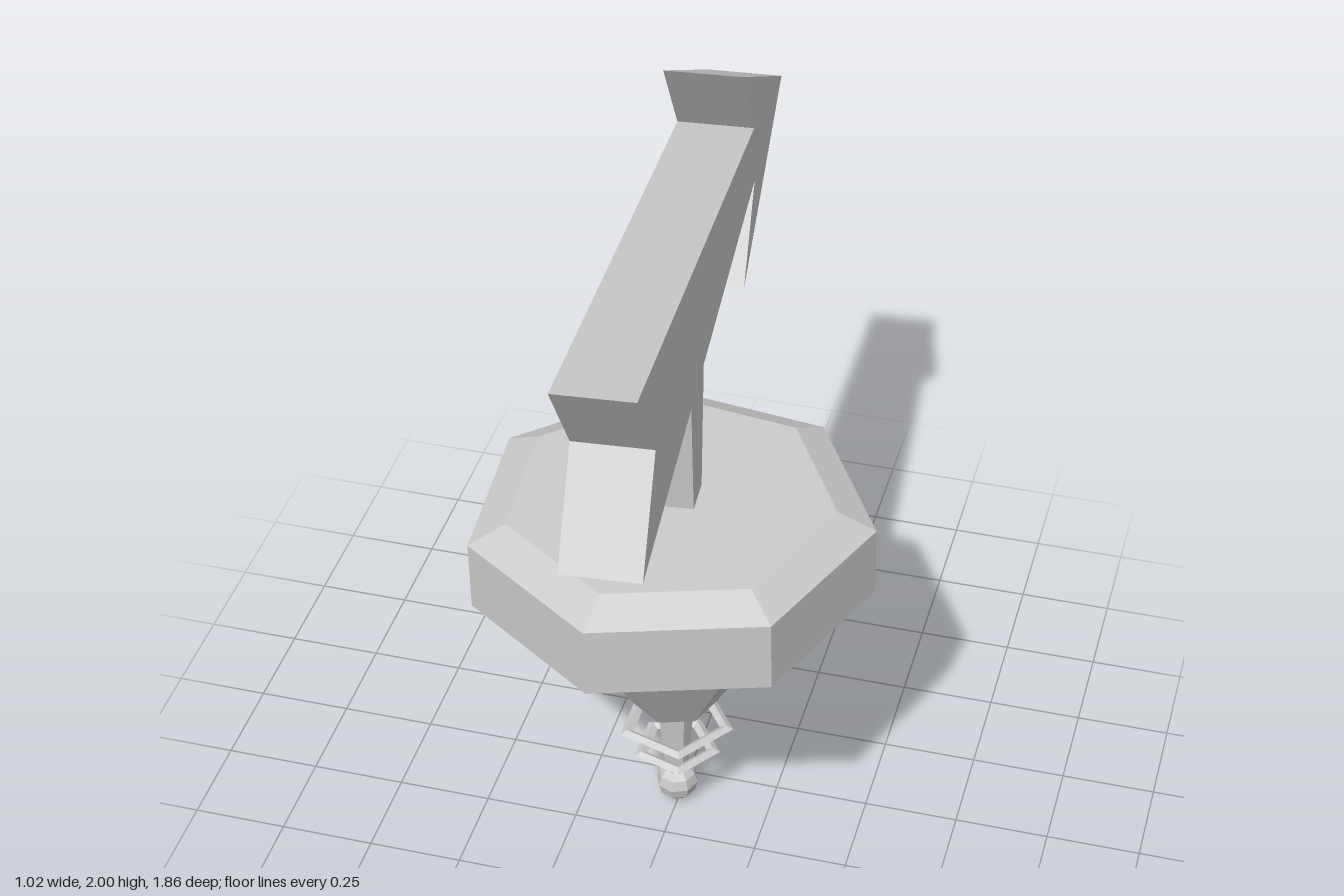
import * as THREE from 'three';

export function createModel() {
  const material = new THREE.MeshStandardMaterial({ color: 0xcccccc, flatShading: true });
  const model = new THREE.Group();
  model.name = 'arrowTop';

  const add = (parent, name, geometry) => {
    const mesh = new THREE.Mesh(geometry, material);
    mesh.name = name;
    parent.add(mesh);
    return mesh;
  };
  const lathe = (points, sides, start = 0) =>
    new THREE.LatheGeometry(points.map(([r, y]) => new THREE.Vector2(r, y)), sides, start);

  // Everything leans very slightly to one side
  const leaning = new THREE.Group();
  leaning.name = 'leaningAssembly';
  leaning.position.x = -0.005;
  leaning.rotation.z = 0.015;
  model.add(leaning);

  // Spinning part: seven-sided body, stem, rings and ball
  const spinner = new THREE.Group();
  spinner.name = 'spinner';
  spinner.position.z = 0.096;
  spinner.rotation.x = 0.007;
  leaning.add(spinner);

  add(spinner, 'body', lathe([
    [0, 0.35], [0.11, 0.35], [0.27, 0.6], [0.53, 0.79],
    [0.53, 0.985], [0.43, 1.033], [0, 1.035],
  ], 7, 1.646));
  add(spinner, 'stem', lathe([[0.03, 0.08], [0.036, 0.15], [0.052, 0.36]], 7, 1.646));
  add(spinner, 'ball', new THREE.SphereGeometry(0.057, 8, 6).translate(0, 0.057, 0));

  // Thin five-sided rings around the stem
  for (const [name, radius, y] of [['upperRing', 0.14, 0.27], ['lowerRing', 0.102, 0.18]]) {
    const ring = new THREE.TorusGeometry(radius, 0.019, 4, 5).rotateX(Math.PI / 2).scale(1, 0.55, 1);
    add(spinner, name, ring.translate(0, y, 0));
  }

  // Pointer: post and arrow, turned a little from straight
  const pointer = new THREE.Group();
  pointer.name = 'pointer';
  pointer.rotation.y = 0.07;
  leaning.add(pointer);

  // Post widens towards the arrow
  const post = new THREE.BoxGeometry(1, 1, 1);
  const p = post.attributes.position;
  for (let i = 0; i < p.count; i++) {
    const top = p.getY(i) > 0;
    p.setXYZ(i,
      p.getX(i) * (top ? 0.145 : 0.125),
      top ? 1.62 : 1.0,
      p.getZ(i) * (top ? 0.2 : 0.1) + (top ? 0.114 : 0.1));
  }
  add(pointer, 'post', post);

  // Arrow outline as (z, y), extruded across x
  const outline = new THREE.Shape([
    [0.925, 1.915], [0.75, 1.66], [0.92, 1.405], [-0.52, 1.6],
    [-0.36, 1.37], [-0.925, 1.68], [-0.355, 2.0], [-0.515, 1.76],
  ].map(([z, y]) => new THREE.Vector2(z, y)));
  const arrow = new THREE.ExtrudeGeometry(outline, { depth: 0.2, bevelEnabled: false });
  add(pointer, 'arrow', arrow.translate(0, 0, -0.1).rotateY(-Math.PI / 2));

  return model;
}
